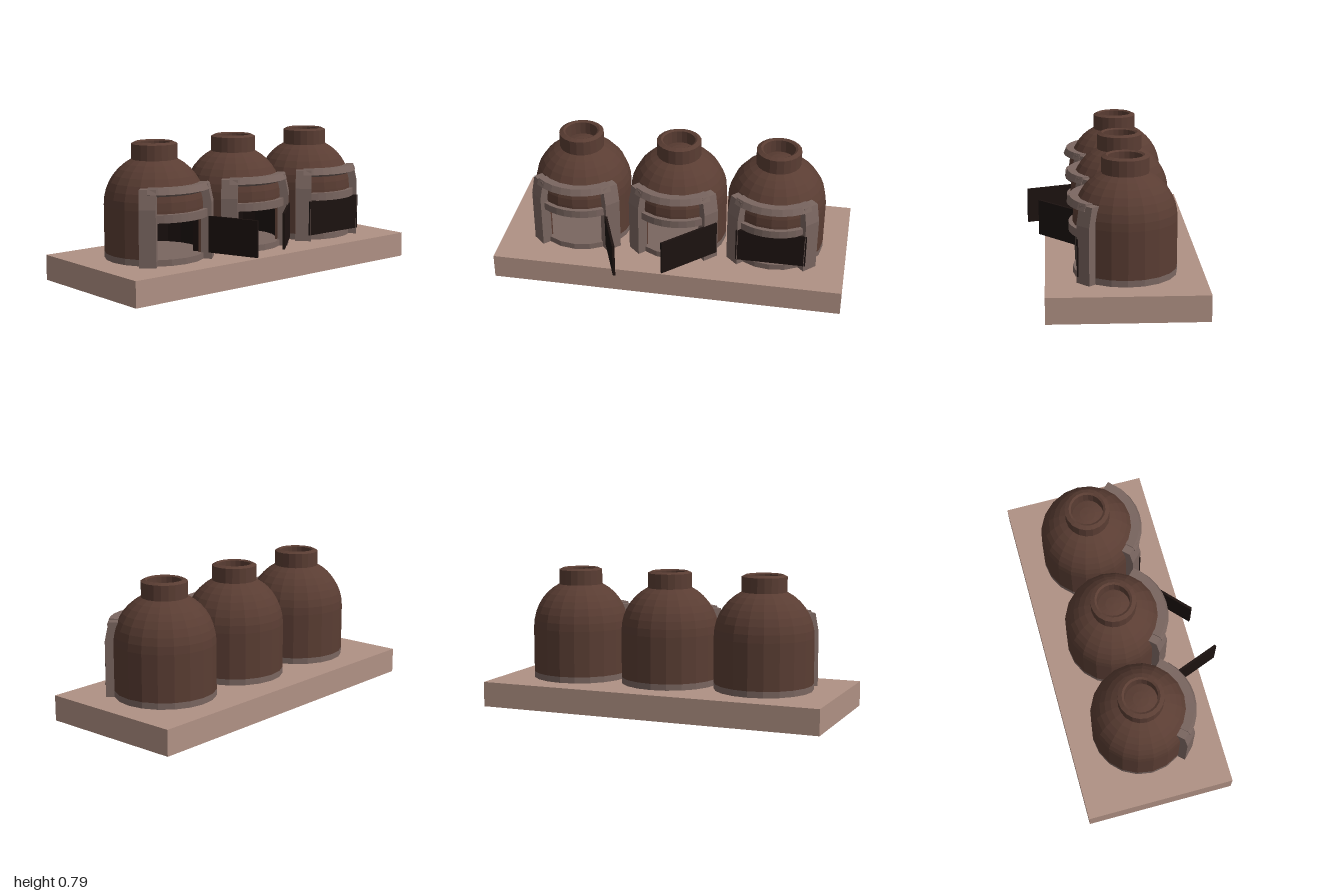
import * as THREE from 'three';

const mat = (color) => new THREE.MeshStandardMaterial({ color, flatShading: true, side: THREE.DoubleSide });
const clay = mat(0x5a3d33);
const stone = mat(0x7a6660);
const slab = mat(0xb09184);
const soot = mat(0x1c1210);

const BASE = 0.143, SILL = 0.178, LINTEL = 0.38, SPRING = 0.44, R = 0.28;
const STEP = Math.PI / 10; // 20-sided rings
const DOOR_HALF = 2 * STEP;

function add(parent, name, geometry, material) {
  const mesh = new THREE.Mesh(geometry, material);
  mesh.name = name;
  parent.add(mesh);
  return mesh;
}

// Revolve [radius, y] points; angles are measured from the +x (door) direction
function revolve(points, from = 0, length = Math.PI * 2, segments = 20) {
  return new THREE.LatheGeometry(points.map(([r, y]) => new THREE.Vector2(r, y)), segments, Math.PI / 2 + from, length);
}

// Curved bar over the doorway, with closed ends
function bar(parent, name, section, half, material) {
  add(parent, name, revolve([...section, section[0]], -half, half * 2, 8), material);
  const shape = new THREE.Shape(section.map(([r, y]) => new THREE.Vector2(r, y)));
  for (const s of [-1, 1]) {
    add(parent, name + 'End', new THREE.ShapeGeometry(shape), material).rotation.y = s * half;
  }
}

// Doorway post whose top leans in to follow the dome
function post(parent, side) {
  const height = 0.56 - BASE;
  const g = new THREE.BoxGeometry(0.06, height, 0.092, 1, 4, 1);
  const p = g.attributes.position;
  for (let i = 0; i < p.count; i++) {
    if (p.getY(i) > height * 0.45) p.setX(i, p.getX(i) - 0.022);
  }
  const holder = new THREE.Group();
  holder.name = 'doorPost';
  holder.rotation.y = side * 0.767;
  add(holder, 'postBlock', g, stone).position.set(0.292, BASE + height / 2, 0);
  parent.add(holder);
}

function kiln() {
  const g = new THREE.Group();
  g.name = 'kiln';

  // Foot ring and oven floor
  add(g, 'foot', revolve([[R, BASE], [R, SILL], [0, SILL]]), stone);

  // Lower wall, open at the door, with a sooty lining
  const open = Math.PI * 2 - DOOR_HALF * 2;
  add(g, 'lowerWall', revolve([[R, SILL], [R, LINTEL]], DOOR_HALF, open, 16), clay);
  add(g, 'lining', revolve([[0.25, SILL], [0.25, LINTEL]], DOOR_HALF, open, 16), soot);
  for (const s of [-1, 1]) {
    const jamb = new THREE.PlaneGeometry(0.03, LINTEL - SILL).translate(0.265, (LINTEL + SILL) / 2, 0);
    add(g, 'jamb', jamb, clay).rotation.y = s * DOOR_HALF;
  }

  // Upper wall and hemispherical dome
  const dome = [[0, LINTEL], [R, LINTEL]];
  for (let i = 0; i <= 10; i++) {
    const a = (i / 10) * Math.PI / 2;
    dome.push([R * Math.cos(a), SPRING + R * Math.sin(a)]);
  }
  add(g, 'dome', revolve(dome), clay);

  // Hollow chimney neck with a bevelled rim
  add(g, 'chimney', revolve([
    [0.127, 0.675], [0.127, 0.774], [0.104, 0.785], [0.092, 0.778], [0.092, 0.69],
  ]), clay);

  // Door surround
  bar(g, 'lintel', [[0.25, LINTEL], [0.302, LINTEL], [0.302, 0.425], [0.25, 0.425]], DOOR_HALF, stone);
  bar(g, 'hood', [[0.25, 0.51], [0.312, 0.533], [0.297, 0.57], [0.235, 0.565]], 0.767, stone);
  post(g, 1);
  post(g, -1);
  return g;
}

// Flat door panel between two points in plan
function door(parent, [x0, z0], [x1, z1]) {
  const length = Math.hypot(x1 - x0, z1 - z0);
  const panel = add(parent, 'door', new THREE.BoxGeometry(length, 0.204, 0.014), soot);
  panel.position.set((x0 + x1) / 2, 0.28, (z0 + z1) / 2);
  panel.rotation.y = -Math.atan2(z1 - z0, x1 - x0);
}

export function createModel() {
  const model = new THREE.Group();
  model.name = 'kilnRow';

  add(model, 'baseSlab', new THREE.BoxGeometry(0.85, BASE, 2), slab).position.set(-0.055, BASE / 2, 0);

  for (const z of [-0.58, -0.012, 0.555]) {
    const k = kiln();
    k.position.set(-0.06, 0, z);
    model.add(k);
  }

  // One door shut, two standing open
  door(model, [0.195, -0.78], [0.195, -0.38]);
  door(model, [0.15, -0.262], [0.4, 0.01]);
  door(model, [0.096, 0.405], [0.472, 0.264]);
  return model;
}
